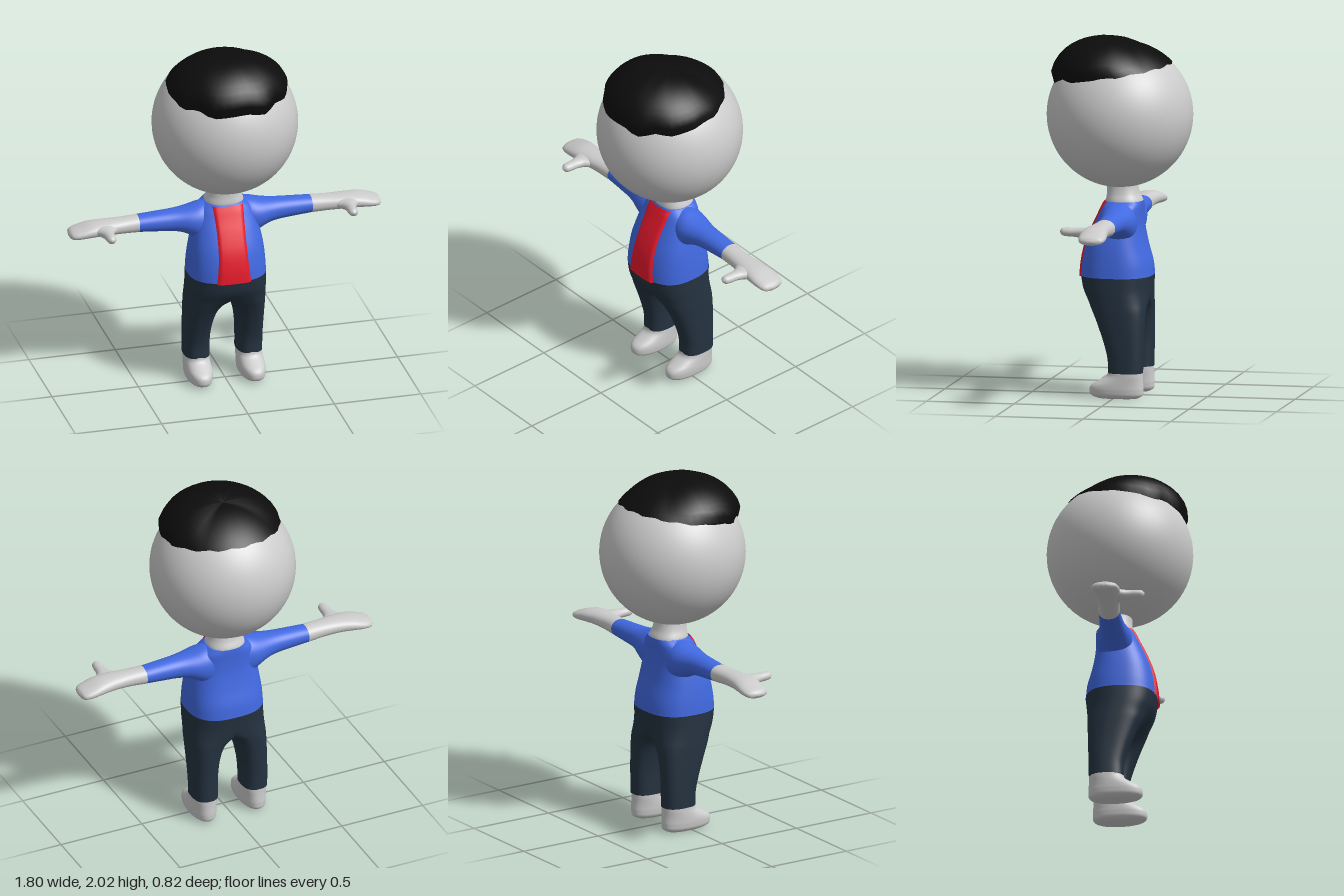
import * as THREE from 'three';

const mat = (color, side = THREE.FrontSide) => new THREE.MeshStandardMaterial({ color, side });
const skin = mat(0xcccccc), blue = mat(0x4169e1), navy = mat(0x243240);
const red = mat(0xe8192c, THREE.DoubleSide), black = mat(0x0c0c0c, THREE.DoubleSide);
const X = 0, Y = 1, Z = 2;

// Smooth interpolation through rows of [t, a0, a1, b0, b1]
function profile(rows) {
  const spline = new THREE.CubicInterpolant(rows.map(r => r[0]), rows.flatMap(r => r.slice(1)), 4);
  return t => Array.from(spline.evaluate(t));
}

// Loft of superellipse rings along an axis; a and b are the next two axes in cyclic order
function loft(axis, rows, { power = 2.3, steps = 28, seg = 48, clamp = false } = {}) {
  const at = profile(rows), pos = [], idx = [];
  const t0 = rows[0][0], t1 = rows[rows.length - 1][0];
  const round = v => Math.sign(v) * Math.pow(Math.abs(v), 2 / power);
  const add = (t, a, b) => {
    const p = [0, 0, 0];
    p[axis] = t; p[(axis + 1) % 3] = a; p[(axis + 2) % 3] = b;
    if (clamp) p[0] = Math.max(0, p[0]);
    pos.push(...p);
  };
  const ring = t => {
    const [a0, a1, b0, b1] = at(t);
    for (let i = 0; i < seg; i++) {
      const f = (i / seg) * Math.PI * 2;
      add(t, (a0 + a1) / 2 + (a1 - a0) / 2 * round(Math.cos(f)), (b0 + b1) / 2 + (b1 - b0) / 2 * round(Math.sin(f)));
    }
  };
  // ease the spacing so both ends get more rings
  for (let j = 0; j <= steps; j++) {
    const u = j / steps;
    ring(t0 + (t1 - t0) * (0.4 * u + 0.3 * (1 - Math.cos(Math.PI * u))));
  }
  for (let j = 0; j < steps; j++) for (let i = 0; i < seg; i++) {
    const a = j * seg + i, b = j * seg + (i + 1) % seg;
    idx.push(a, b, b + seg, a, b + seg, a + seg);
  }
  // flat end caps with their own vertices
  [t0, t1].forEach((t, end) => {
    const start = pos.length / 3, [a0, a1, b0, b1] = at(t);
    ring(t);
    add(t, (a0 + a1) / 2, (b0 + b1) / 2);
    for (let i = 0; i < seg; i++) {
      const p = start + i, q = start + (i + 1) % seg;
      idx.push(start + seg, ...(end ? [p, q] : [q, p]));
    }
  });
  return finish(pos, idx, clamp);
}

function finish(pos, idx, seam = false) {
  const g = new THREE.BufferGeometry();
  g.setAttribute('position', new THREE.Float32BufferAttribute(pos, 3));
  g.setIndex(idx);
  g.computeVertexNormals();
  // keep shading continuous across the centre seam
  if (seam) {
    const n = g.attributes.normal;
    for (let i = 0; i < n.count; i++) if (pos[i * 3] === 0) n.setX(i, 0);
    g.normalizeNormals();
  }
  return g;
}

function mirrored(geometry) {
  const g = geometry.clone();
  for (const name of ['position', 'normal']) {
    const a = g.attributes[name];
    for (let i = 0; i < a.count; i++) a.setX(i, -a.getX(i));
  }
  g.index.array.reverse();
  return g;
}

// Domed hair: a wavy rim on the head, bulging most at the front
function hairGeometry(centre, radius) {
  const seg = 48, rings = 12, pos = [], idx = [];
  for (let j = 0; j <= rings; j++) for (let i = 0; i < seg; i++) {
    const f = (i / seg) * Math.PI * 2, front = Math.sin(f), t = j / rings;
    const wave = 0.008 * Math.sin(f * 9) * Math.max(0, front + 0.3) + 0.004 * Math.sin(f * 14 + 1);
    const rimY = 1.823 - 0.05 * front + wave - centre;
    const polar = Math.acos(rimY / radius) * (1 - t);
    const bulge = 0.03 + 0.033 * front - 0.015 * Math.max(0, -front);
    const lift = Math.max(0, bulge) * Math.pow(Math.sin(Math.PI * Math.pow(t, 0.65)), 0.8 ) || 0;
    const r = radius + 0.006 + lift;
    pos.push(r * Math.sin(polar) * Math.cos(f), centre + r * Math.cos(polar), r * Math.sin(polar) * front);
  }
  for (let j = 0; j < rings; j++) for (let i = 0; i < seg; i++) {
    const a = j * seg + i, b = j * seg + (i + 1) % seg;
    idx.push(a, b + seg, b, a, a + seg, b + seg);
  }
  return finish(pos, idx);
}

export function createModel() {
  const group = new THREE.Group();
  const add = (name, geometry, material) => {
    const mesh = new THREE.Mesh(geometry, material);
    mesh.name = name;
    group.add(mesh);
    return mesh;
  };
  const pair = (name, geometry, material) => {
    add('left' + name, geometry, material);
    add('right' + name, mirrored(geometry), material);
  };

  // Head, hair and neck
  add('head', new THREE.SphereGeometry(0.41, 64, 40), skin).position.y = 1.583;
  add('hair', hairGeometry(1.583, 0.41), black);
  add('neck', loft(Y, [
    [1.05, -0.12, 0.06, -0.1, 0.1], [1.095, -0.13, 0.075, -0.11, 0.11],
    [1.14, -0.112, 0.071, -0.094, 0.094], [1.18, -0.102, 0.07, -0.086, 0.086], [1.25, -0.1, 0.07, -0.085, 0.085],
  ]), skin);

  // Shirt body
  const torso = [
    [0.68, -0.19, 0.212, -0.222, 0.222], [0.75, -0.182, 0.206, -0.218, 0.218],
    [0.85, -0.155, 0.185, -0.207, 0.207], [0.95, -0.136, 0.146, -0.188, 0.188],
    [1.03, -0.132, 0.108, -0.17, 0.17], [1.07, -0.133, 0.09, -0.15, 0.15], [1.098, -0.132, 0.076, -0.113, 0.113],
  ];
  const power = 2.6;
  add('shirt', loft(Y, torso, { power }), blue);

  // Red front panel following the chest, its side edges folded inward
  const panel = new THREE.PlaneGeometry(2, 1, 12, 24), at = profile(torso), p = panel.attributes.position;
  for (let i = 0; i < p.count; i++) {
    const u = p.getX(i), v = p.getY(i) + 0.5, y = 0.674 + 0.42 * v;
    const [z0, z1, , hw] = at(Math.max(0.68, y));
    const x = u * (0.108 - 0.055 * v * (1 - v) - 0.01 * v);
    const bow = Math.pow(Math.max(0, 1 - Math.pow(Math.abs(x) / hw, power)), 1 / power);
    p.setXYZ(i, x, y, (z0 + z1) / 2 + (z1 - z0) / 2 * bow + (Math.abs(u) > 0.99 ? -0.01 : 0.009));
  }
  panel.computeVertexNormals();
  add('frontPanel', panel, red);

  // Sleeves flare into the shoulders
  pair('Sleeve', loft(X, [
    [0.1, 0.86, 1.098, -0.12, 0.07], [0.15, 0.875, 1.093, -0.122, 0.082], [0.2, 0.905, 1.08, -0.114, 0.078],
    [0.25, 0.929, 1.071, -0.1, 0.064], [0.3, 0.94, 1.066, -0.09, 0.053], [0.4, 0.949, 1.06, -0.083, 0.044],
    [0.5, 0.957, 1.054, -0.078, 0.038],
  ], { power: 2.1 }), blue);

  // Forearms with mitten hands, and thumbs pointing forward
  pair('Hand', loft(X, [
    [0.5, 0.957, 1.054, -0.078, 0.038], [0.6, 0.963, 1.051, -0.072, 0.046], [0.7, 0.966, 1.05, -0.078, 0.06],
    [0.78, 0.965, 1.043, -0.09, 0.064], [0.84, 0.962, 1.026, -0.093, 0.06], [0.88, 0.963, 1.012, -0.083, 0.048],
    [0.895, 0.968, 1.003, -0.065, 0.03], [0.901, 0.98, 0.99, -0.03, 0],
  ], { power: 2.2 }), skin);
  pair('Thumb', loft(Z, [
    [0, 0.61, 0.79, 0.975, 1.04], [0.05, 0.635, 0.765, 0.978, 1.038], [0.075, 0.658, 0.745, 0.98, 1.037],
    [0.11, 0.669, 0.732, 0.984, 1.036], [0.16, 0.672, 0.727, 0.987, 1.036],
    [0.185, 0.679, 0.719, 0.994, 1.031], [0.195, 0.694, 0.704, 1.008, 1.018],
  ], { power: 2 }), skin);

  // Trouser halves: each leg widens past the centre line, where it is cut to join its twin
  pair('Trouser', loft(Y, [
    [0.145, -0.162, 0.034, 0.08, 0.225], [0.22, -0.163, 0.036, 0.08, 0.226], [0.3, -0.165, 0.055, 0.077, 0.226],
    [0.4, -0.168, 0.09, 0.06, 0.226], [0.46, -0.17, 0.115, 0.036, 0.226], [0.5, -0.172, 0.135, 0, 0.226],
    [0.54, -0.175, 0.157, -0.08, 0.225], [0.6, -0.181, 0.192, -0.18, 0.224], [0.68, -0.19, 0.212, -0.222, 0.222],
  ], { power, steps: 48, seg: 64, clamp: true }), navy);

  // Feet
  pair('Foot', loft(Y, [
    [0, -0.13, 0.09, 0.108, 0.198], [0.012, -0.155, 0.125, 0.09, 0.215], [0.045, -0.165, 0.141, 0.08, 0.225],
    [0.075, -0.164, 0.128, 0.079, 0.226], [0.1, -0.162, 0.085, 0.08, 0.225],
    [0.125, -0.161, 0.045, 0.081, 0.224], [0.16, -0.16, 0.032, 0.082, 0.223],
  ]), skin);

  return group;
}
